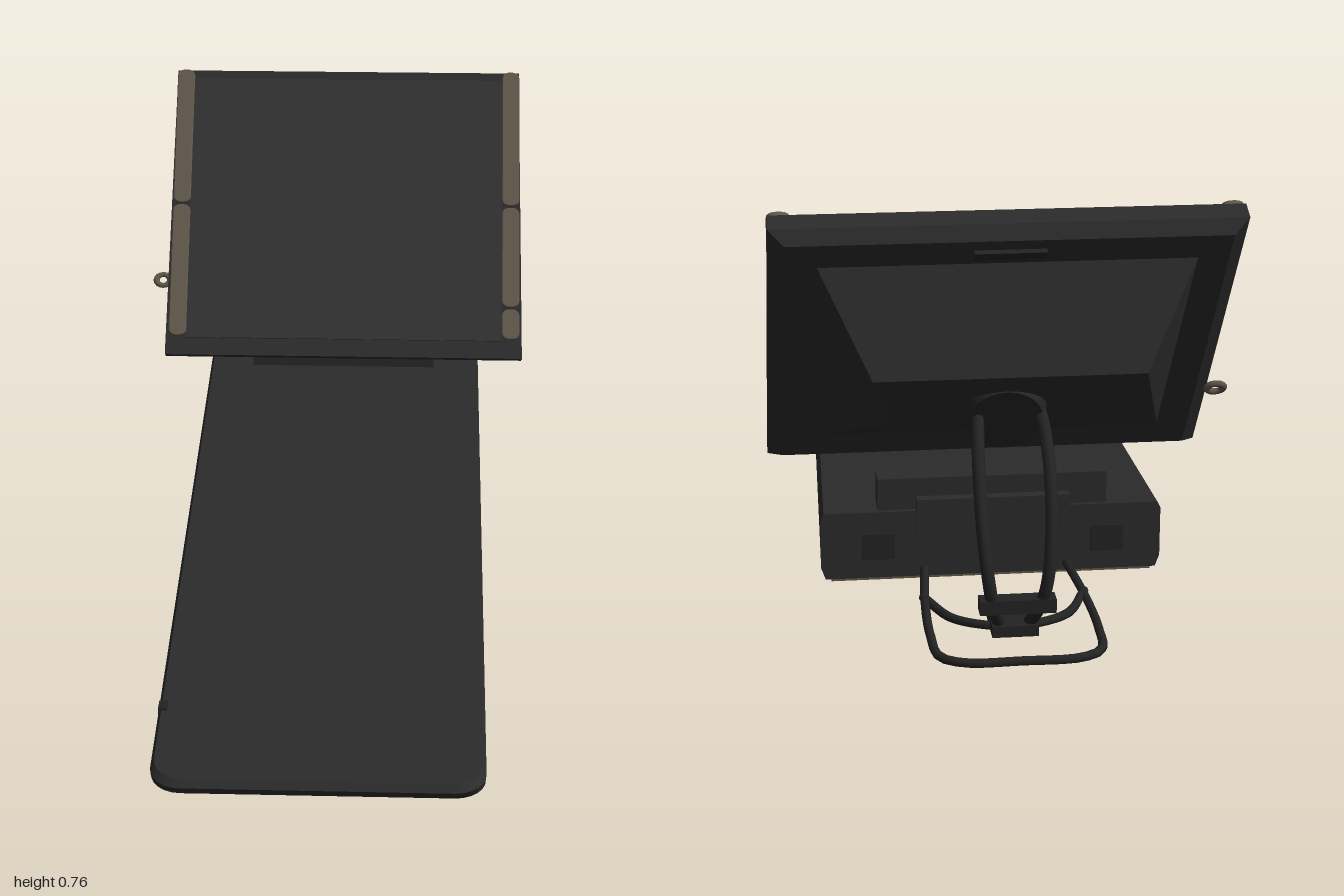
import * as THREE from 'three';

const mat = (name, color) => {
  const m = new THREE.MeshStandardMaterial({ color });
  m.name = name;
  return m;
};

export function createModel() {
  const model = new THREE.Group();
  model.name = 'displayTerminal';
  const body = mat('charcoal body', 0x2b2b2b);
  const glass = mat('grey screen', 0x303030);
  const brown = mat('brown trim', 0x5f564a);
  const black = mat('black stand', 0x232323);
  const V = (x, y, z) => new THREE.Vector3(x, y, z);

  const add = (parent, name, geo, material, x = 0, y = 0, z = 0) => {
    const mesh = new THREE.Mesh(geo, material);
    mesh.name = name;
    mesh.position.set(x, y, z);
    parent.add(mesh);
    return mesh;
  };
  const box = (parent, name, material, x0, x1, y0, y1, z0, z1) =>
    add(parent, name, new THREE.BoxGeometry(x1 - x0, y1 - y0, z1 - z0), material,
      (x0 + x1) / 2, (y0 + y1) / 2, (z0 + z1) / 2);

  // Flat-faced solid through a stack of convex rings
  const loft = (rings) => {
    const pos = [];
    const tri = (...p) => p.forEach((v) => pos.push(v.x, v.y, v.z));
    const n = rings[0].length;
    for (let i = 0; i < rings.length - 1; i++) {
      for (let j = 0; j < n; j++) {
        const k = (j + 1) % n, a = rings[i], b = rings[i + 1];
        tri(a[j], a[k], b[k]);
        tri(a[j], b[k], b[j]);
      }
    }
    const first = rings[0], last = rings[rings.length - 1];
    for (let j = 1; j < n - 1; j++) {
      tri(first[0], first[j + 1], first[j]);
      tri(last[0], last[j], last[j + 1]);
    }
    const geo = new THREE.BufferGeometry();
    geo.setAttribute('position', new THREE.Float32BufferAttribute(pos, 3));
    geo.computeVertexNormals();
    return geo;
  };
  const tube = (parent, name, pts, r, closed = false) =>
    add(parent, name, new THREE.TubeGeometry(
      new THREE.CatmullRomCurve3(pts, closed), 48, r, 8, closed), black);

  // Long wedge base: rounded front corners, slightly wider at the back
  const plan = (front, inset, yAt) => {
    const pts = [], r = 0.055, w = 0.29 - inset;
    for (let i = 0; i <= 6; i++) {
      const a = Math.PI / 2 * (1 - i / 6);
      pts.push([w - r + r * Math.cos(a), front - r + r * Math.sin(a)]);
    }
    const left = pts.map(([x, z]) => [-x, z]).reverse();
    pts.push([0.32 - inset, -0.595], [-0.305 + inset, -0.595], ...left);
    return pts.map(([x, z]) => V(x + 0.005, yAt(z), z));
  };
  const topY = (z) => 0.068 + (1 - z) * 0.0455;
  add(model, 'wedgeBase', loft([
    plan(0.93, 0.008, () => 0.013),
    plan(0.985, 0, () => 0.035),
    plan(1.0, 0, (z) => topY(z) - 0.012),
    plan(0.99, 0.006, topY),
  ]), body);
  add(model, 'undersidePlate', loft([
    plan(0.92, 0.018, () => 0.009),
    plan(0.92, 0.018, () => 0.0135),
  ]), brown);
  for (const x of [-0.215, 0.235]) {
    for (const z of [0.86, -0.53]) {
      add(model, 'foot', new THREE.CylinderGeometry(0.022, 0.018, 0.012, 16), brown, x, 0.006, z);
    }
  }
  box(model, 'edgeButton', black, -0.286, -0.27, 0.068, 0.081, 0.775, 0.8);

  // Raised connector housing and rear sockets
  box(model, 'rearHousing', body, -0.2, 0.22, 0.12, 0.2, -0.585, -0.525);
  box(model, 'rearHousingLid', body, -0.13, 0.15, 0.1, 0.165, -0.605, -0.58);
  for (const x of [-0.23, 0.19]) box(model, 'rearSocket', black, x, x + 0.06, 0.05, 0.1, -0.6, -0.594);

  // Tilted display head, local y up the screen and local z out of it
  const head = new THREE.Group();
  head.name = 'displayHead';
  head.position.set(0.012, 0.22, -0.4);
  head.rotation.x = -0.665;
  model.add(head);
  const rect = (w0, w1, y0, y1, z0, z1 = z0) =>
    [V(-w0, y0, z0), V(w0, y0, z0), V(w1, y1, z1), V(-w1, y1, z1)];
  add(head, 'displayCasing', loft([
    rect(0.375, 0.37, 0.035, 0.675, -0.06),
    rect(0.404, 0.397, 0.004, 0.69, -0.035),
    rect(0.404, 0.397, 0, 0.682, 0),
  ]), body);
  add(head, 'rearHump', loft([
    rect(0.19, 0.23, 0.285, 0.495, -0.156, -0.208),
    rect(0.32, 0.32, 0.09, 0.62, -0.055),
  ]), body);
  box(head, 'screen', glass, -0.357, 0.358, 0.04, 0.662, -0.001, 0.004);
  box(head, 'topVent', black, -0.06, 0.06, 0.635, 0.652, -0.068, -0.058);

  // Brown side strips in stacked segments with rounded ends
  const strip = (x, y0, y1) => {
    const w = 0.018, r = 0.014, s = new THREE.Shape();
    s.moveTo(-w, y0 + r);
    s.quadraticCurveTo(-w, y0, 0, y0);
    s.quadraticCurveTo(w, y0, w, y0 + r);
    s.lineTo(w, y1 - r);
    s.quadraticCurveTo(w, y1, 0, y1);
    s.quadraticCurveTo(-w, y1, -w, y1 - r);
    add(head, 'sideStrip', new THREE.ExtrudeGeometry(s, {
      depth: 0.005, bevelThickness: 0.004, bevelSize: 0.002, bevelSegments: 2,
    }), brown, x, 0, 0);
  };
  strip(-0.377, 0.045, 0.352);
  strip(-0.377, 0.36, 0.68);
  strip(0.378, 0.045, 0.112);
  strip(0.378, 0.12, 0.352);
  strip(0.378, 0.36, 0.68);

  // Small side loop
  const loop = add(head, 'sideLoop', new THREE.TorusGeometry(0.013, 0.006, 8, 16), brown, -0.418, 0.185, -0.04);
  loop.scale.x = 1.2;

  // Pivot where the stand meets the hump
  const hub = add(head, 'standPivot', new THREE.CylinderGeometry(0.065, 0.08, 0.05, 24), black, 0, 0.36, -0.185);
  hub.rotation.x = -Math.PI / 2 + 0.24;

  // Curved twin stand arms with cross plate
  for (const s of [-1, 1]) {
    tube(model, 'standArm', [
      V(0.005 + s * 0.05, 0.39, -0.73), V(0.005 + s * 0.055, 0.385, -0.79),
      V(0.005 + s * 0.06, 0.32, -0.855), V(0.005 + s * 0.058, 0.22, -0.905),
      V(0.005 + s * 0.05, 0.14, -0.922), V(0.005 + s * 0.04, 0.085, -0.905),
      V(0.005 + s * 0.025, 0.035, -0.865),
    ], 0.011);
  }
  box(model, 'armCrossPlate', black, -0.06, 0.07, 0.08, 0.105, -0.925, -0.895);
  box(model, 'armFoot', black, -0.035, 0.045, 0.022, 0.042, -0.89, -0.8);

  // Wire floor loop and its inner brace
  tube(model, 'floorLoop', [
    V(-0.125, 0.027, -0.58), V(-0.138, 0.027, -0.75), V(-0.14, 0.027, -0.88),
    V(-0.13, 0.027, -0.965), V(-0.09, 0.027, -0.99), V(0.005, 0.027, -0.992),
    V(0.1, 0.027, -0.99), V(0.14, 0.027, -0.965), V(0.15, 0.027, -0.88),
    V(0.148, 0.027, -0.75), V(0.135, 0.027, -0.58),
  ], 0.008);
  tube(model, 'floorBrace', [
    V(-0.14, 0.027, -0.72), V(-0.09, 0.027, -0.82), V(0.005, 0.027, -0.855),
    V(0.1, 0.027, -0.82), V(0.15, 0.027, -0.72),
  ], 0.008);

  return model;
}
